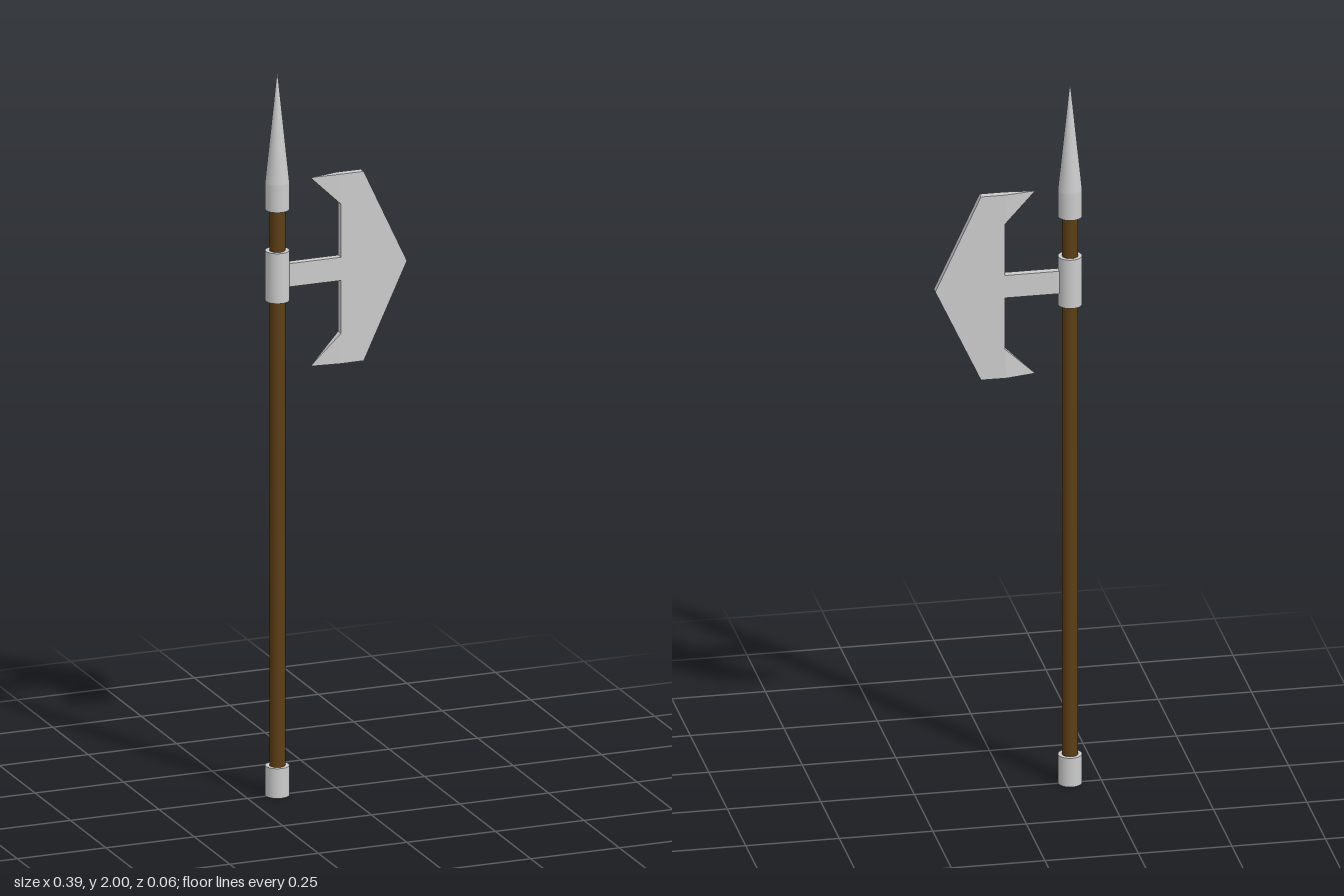
import * as THREE from 'three';

const AXIS_X = -0.166; // shaft axis
const MID_Y = 1.432;   // height of the blade's centre line

export function createModel() {
  const group = new THREE.Group();
  const metal = new THREE.MeshStandardMaterial({ color: 0xcccccc });
  const wood = new THREE.MeshStandardMaterial({ color: 0x5c3d14 });

  const add = (name, geometry, material, x = 0, y = 0) => {
    const mesh = new THREE.Mesh(geometry, material);
    mesh.name = name;
    mesh.position.set(x, y, 0);
    group.add(mesh);
  };
  // Upright round part between two heights
  const rod = (name, radius, y0, y1, material) =>
    add(name, new THREE.CylinderGeometry(radius, radius, y1 - y0, 32), material, AXIS_X, (y0 + y1) / 2);

  // Shaft and its metal fittings
  rod('shaft', 0.021, 0.02, 1.65, wood);
  rod('buttCap', 0.032, 0, 0.082, metal);
  rod('collar', 0.032, 1.364, 1.502, metal);
  rod('spikeSocket', 0.032, 1.615, 1.69, metal);
  add('spike', new THREE.ConeGeometry(0.032, 0.31, 32, 1, true), metal, AXIS_X, 1.845);

  // Axe blade: upper half outline, mirrored below, with the stem at the back
  const half = [[0.074, 0.261], [0.005, 0.2612], [-0.074, 0.26], [0.01, 0.178], [0.01, 0.032], [AXIS_X + 0.01, 0.032]];
  const outline = [
    [0.196, 0],
    ...half,
    ...half.map(([x, y]) => [x, -y]).reverse(),
  ].map(([x, y]) => new THREE.Vector2(x, y));
  const depth = 0.021;
  const blade = new THREE.ExtrudeGeometry(new THREE.Shape(outline), { depth, bevelEnabled: false });
  blade.translate(0, 0, -depth / 2);

  // Pinch the two horn tips to points
  const p = blade.attributes.position;
  for (let i = 0; i < p.count; i++) {
    if (Math.abs(p.getY(i)) > 0.25 && p.getX(i) < -0.05) p.setZ(i, 0.005);
  }
  blade.computeVertexNormals();
  add('axeBlade', blade, metal, 0, MID_Y);

  return group;
}
